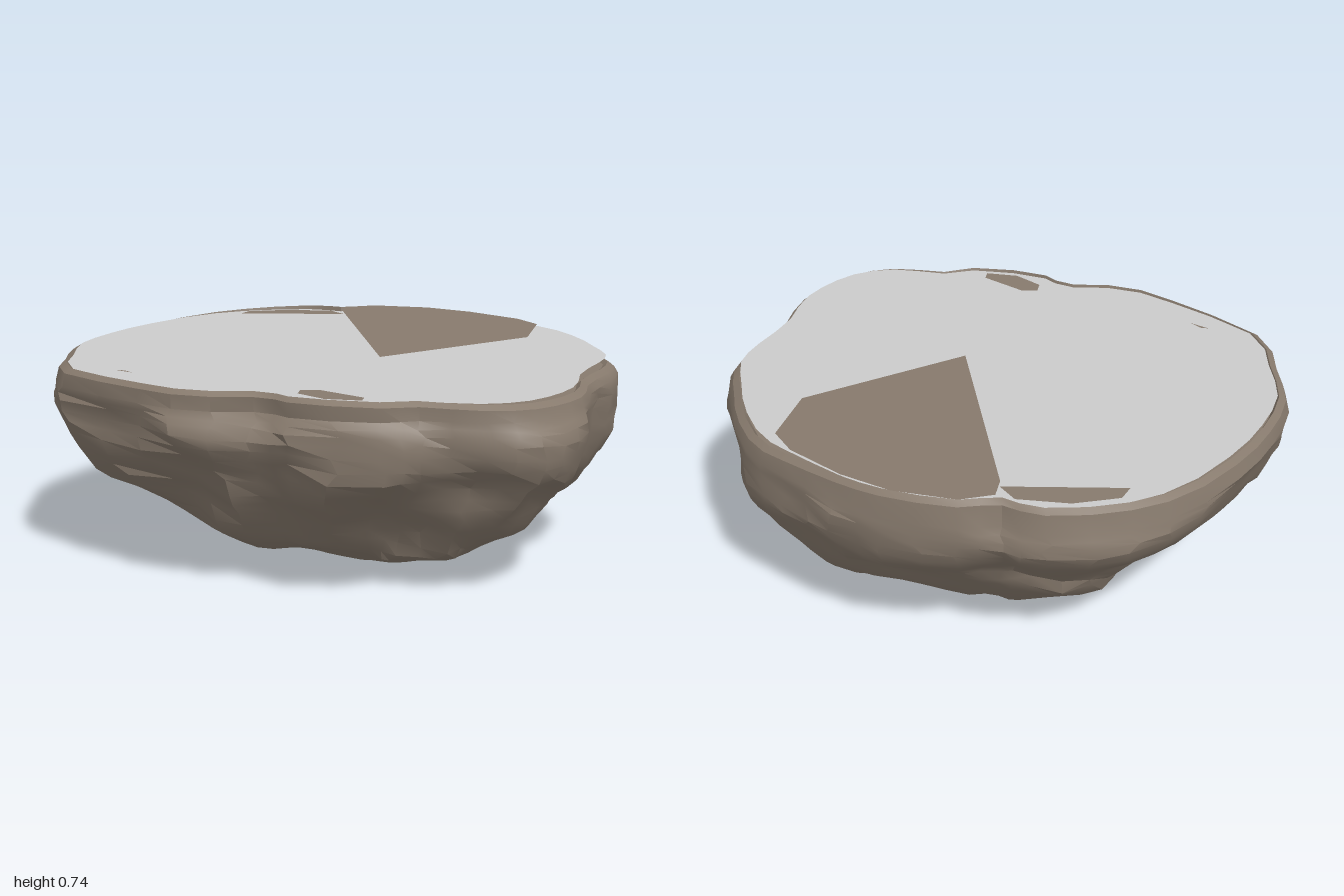
import * as THREE from 'three';
import { toCreasedNormals } from 'three/addons/utils/BufferGeometryUtils.js';

// Plan outline of the rock as x, z pairs, from the back round through +x
const OUTLINE = [[0, -0.84], [0.25, -0.82], [0.4, -0.77], [0.6, -0.67], [0.75, -0.58], [0.88, -0.4],
  [0.95, -0.23], [1, -0.08], [0.98, 0.05], [0.92, 0.25], [0.91, 0.45], [0.85, 0.6], [0.75, 0.72],
  [0.6, 0.78], [0.4, 0.78], [0.3, 0.83], [0, 0.82], [-0.1, 0.76], [-0.35, 0.78], [-0.6, 0.67],
  [-0.9, 0.47], [-0.96, 0.25], [-1, 0.05], [-0.96, -0.15], [-0.88, -0.35], [-0.7, -0.62],
  [-0.5, -0.76], [-0.25, -0.83], [-0.13, -0.8]];

// Width of the rock at each height, as a share of the outline, and rim height, on its four sides
const HEIGHTS = [0.66, 0.6, 0.5, 0.4, 0.3, 0.2, 0.12, 0.07, 0.05];
const SIDES = {
  left: { rim: 0.7, width: [1, 1, 0.98, 0.95, 0.87, 0.77, 0.63, 0.36, 0] },
  right: { rim: 0.72, width: [1, 0.97, 0.93, 0.87, 0.74, 0.58, 0.43, 0.26, 0] },
  front: { rim: 0.725, width: [0.98, 1, 0.99, 0.91, 0.83, 0.71, 0.58, 0.4, 0] },
  back: { rim: 0.752, width: [1, 1, 0.98, 0.87, 0.78, 0.67, 0.56, 0.4, 0] },
};

// Bulges and hollows: x, y, z, radius, push
const LUMPS = [[0.2, 0.48, 0.8, 0.2, 0.03], [-0.4, 0.43, 0.72, 0.12, -0.03], [-0.75, 0.38, 0.4, 0.22, 0.04],
  [0.6, 0.44, 0.74, 0.11, -0.05], [0.25, 0.3, 0.68, 0.12, -0.04], [0.7, 0.2, 0.4, 0.16, 0.03],
  [-0.3, 0.16, 0.45, 0.14, 0.02], [-0.6, 0.42, -0.52, 0.13, -0.03], [-0.25, 0.42, -0.72, 0.12, -0.03],
  [-0.45, 0.2, -0.4, 0.18, 0.02], [0.5, 0.28, -0.5, 0.2, 0.03]];

const SEGMENTS = 54, STEPS = 20;
const discY = z => 0.725 - 0.012 * z;
const wedgeY = z => 0.726 + 0.031 * (0.11 - z);
const bump = (dx, dy, dz, r) => Math.exp(-(dx * dx + dy * dy + dz * dz) / (r * r));

function random(seed) {
  return () => (seed = (seed * 16807) % 2147483647) / 2147483647;
}

const curve = new THREE.CatmullRomCurve3(
  OUTLINE.map(([x, z]) => new THREE.Vector3(x, 0, z)), true, 'centripetal');

function sample(list, t) {
  const i = Math.min(Math.floor(t), list.length - 2);
  return THREE.MathUtils.lerp(list[i], list[i + 1], t - i);
}

// Blends a value given for the four sides by direction
function blend(p, value) {
  const c = p.x * p.x / p.lengthSq();
  return c * value(p.x > 0 ? SIDES.left : SIDES.right) + (1 - c) * value(p.z > 0 ? SIDES.front : SIDES.back);
}

function surfacePoint(u, t) {
  const p = curve.getPoint(u % 1);
  const width = blend(p, side => sample(side.width, t));
  return new THREE.Vector3(p.x * width + 0.06 * (1 - width), sample(HEIGHTS, t), p.z * width);
}

const outward = p => new THREE.Vector3(p.x, (p.y - 0.62) * 1.1, p.z).normalize();

// Random planes tangent to the rock, which become its facets
function makeFacets(rand, count) {
  return Array.from({ length: count }, () => {
    const u = rand(), t = 0.4 + rand() * 6.2;
    const point = surfacePoint(u, t);
    const along = surfacePoint(u + 0.03, t).sub(surfacePoint(u + 0.97, t));
    const down = surfacePoint(u, t + 0.4).sub(surfacePoint(u, t - 0.4));
    const normal = along.cross(down).normalize();
    const out = outward(point);
    if (normal.dot(out) < 0) normal.negate();
    return { point: point.addScaledVector(out, (rand() - 0.5) * 0.05), normal };
  });
}

// Distance along the outward direction to the planes of the nearest facets
function facetPush(p, out, facets) {
  let sum = 0, total = 1e-9;
  for (const { point, normal } of facets) {
    const weight = Math.exp(-point.distanceToSquared(p) * 260);
    const gap = point.clone().sub(p).dot(normal) / Math.max(0.5, out.dot(normal));
    sum += weight * THREE.MathUtils.clamp(gap, -0.035, 0.035);
    total += weight;
  }
  return sum / total;
}

function rockGeometry() {
  const rand = random(2024);
  const facets = makeFacets(rand, 120);
  const positions = [], index = [];
  const ring = fn => {
    for (let i = 0; i < SEGMENTS; i++) positions.push(...fn(i / SEGMENTS).toArray());
  };

  // Hidden top and rounded rim
  for (const [scale, drop] of [[0, null], [0.945, null], [0.96, 0], [0.985, 0.015]]) {
    ring(u => {
      const p = curve.getPoint(u);
      const y = drop === null ? 0.69 : blend(p, side => side.rim) - drop;
      return p.multiplyScalar(scale).setY(y);
    });
  }
  // Lumpy sides and underside
  for (let k = 0; k <= STEPS; k++) {
    ring(u => {
      const loose = k > 0 && k < STEPS - 2 ? 1 : 0;
      const t = (k + loose * (rand() - 0.5) * 0.4) / STEPS * (HEIGHTS.length - 1);
      const p = surfacePoint(u + loose * (rand() - 0.5) * 0.006 + 1, t);
      const out = outward(p);
      let push = facetPush(p, out, facets);
      for (const [x, y, z, r, a] of LUMPS) push += a * bump(p.x - x, p.y - y, p.z - z, r);
      const fade = Math.min(1, k / 3, Math.max(0, STEPS - 2 - k) / 3);
      p.addScaledVector(out, push * fade);
      // Two low humps with a groove between them
      if (p.y < 0.3) {
        const low = Math.min(1, (0.3 - p.y) / 0.15);
        p.y += low * (0.04 * bump(0, 0, p.z, 0.09) -
          0.055 * bump(p.x - 0.2, 0, p.z - 0.2, 0.2) - 0.035 * bump(p.x + 0.1, 0, p.z + 0.2, 0.2));
      }
      p.x = THREE.MathUtils.clamp(p.x, -1, 1);
      p.z = THREE.MathUtils.clamp(p.z, -0.84, 0.84);
      p.y = Math.max(p.y, 0);
      return p;
    });
  }
  const rings = positions.length / 3 / SEGMENTS;
  for (let k = 0; k < rings - 1; k++) {
    for (let i = 0; i < SEGMENTS; i++) {
      const j = (i + 1) % SEGMENTS;
      const a = k * SEGMENTS + i, b = k * SEGMENTS + j, c = a + SEGMENTS, d = b + SEGMENTS;
      if (k > 0) index.push(a, b, c);
      if (k < rings - 2) index.push(b, d, c);
    }
  }
  const geometry = new THREE.BufferGeometry();
  geometry.setAttribute('position', new THREE.Float32BufferAttribute(positions, 3));
  geometry.setIndex(index);
  return toCreasedNormals(geometry, 0.5);
}

// Flat polygon on the top, with its height given by z
function topSheet(points, height) {
  const shape = new THREE.Shape(points.map(([x, z]) => new THREE.Vector2(x, -z)));
  const geometry = new THREE.ShapeGeometry(shape).rotateX(-Math.PI / 2);
  const pos = geometry.attributes.position;
  for (let i = 0; i < pos.count; i++) pos.setY(i, height(pos.getZ(i)));
  geometry.computeVertexNormals();
  return geometry;
}

export function createModel() {
  const group = new THREE.Group();
  const rock = new THREE.MeshStandardMaterial({ color: 0x877a6d, side: THREE.DoubleSide });
  const grey = new THREE.MeshStandardMaterial({ color: 0xcccccc });
  const add = (name, geometry, material) => {
    const mesh = new THREE.Mesh(geometry, material);
    mesh.name = name;
    group.add(mesh);
  };

  add('rockBody', rockGeometry(), rock);

  const rim = curve.getPoints(SEGMENTS).slice(0, -1).map(p => [p.x * 0.955, p.z * 0.95]);
  add('topSurface', topSheet(rim.reverse(), discY), grey);

  // Bare rock showing through the top
  const patchY = z => discY(z) + 0.003;
  add('rockWedge', topSheet([[-0.11, -0.68], [0.17, 0.11], [0.66, -0.3], [0.68, -0.54], [0.6, -0.63],
    [0.4, -0.74], [0.22, -0.8], [0, -0.81], [-0.11, -0.76]], wedgeY), rock);
  add('backPatch', topSheet([[-0.52, -0.62], [-0.11, -0.69], [-0.17, -0.75], [-0.35, -0.74], [-0.5, -0.68]], patchY), rock);
  add('frontPatch', topSheet([[0, 0.66], [0.06, 0.65], [0.22, 0.73], [0.22, 0.77], [0.1, 0.77], [0, 0.71]], patchY), rock);
  add('smallPatch', topSheet([[-0.68, 0.48], [-0.65, 0.48], [-0.61, 0.51]], patchY), rock);
  return group;
}
